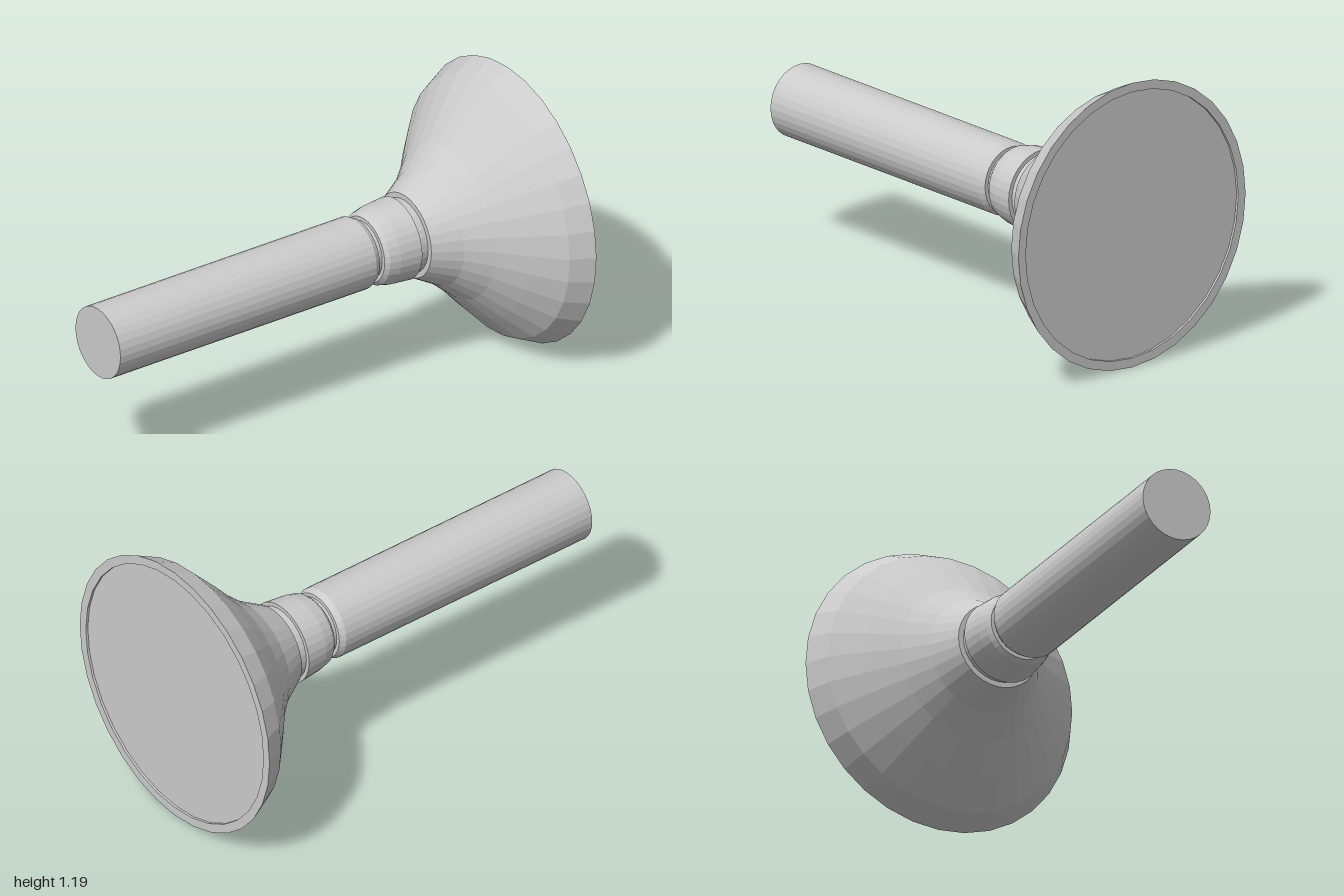
import * as THREE from 'three';

const SIDES = 32;
const AXIS_HEIGHT = 0.597;
const material = new THREE.MeshStandardMaterial({ color: 0xcccccc, flatShading: true });

// Turned part on the z axis; profile is [radius, z] pairs running from front (+z) to back (-z)
function turned(name, profile) {
  const points = profile.map(([r, z]) => new THREE.Vector2(r, -z));
  const geometry = new THREE.LatheGeometry(points, SIDES);
  geometry.rotateX(-Math.PI / 2);
  const mesh = new THREE.Mesh(geometry, material);
  mesh.name = name;
  mesh.position.y = AXIS_HEIGHT;
  return mesh;
}

export function createModel() {
  const group = new THREE.Group();
  group.name = 'flaredHandle';

  // Long round grip with a small chamfer at the back
  group.add(turned('handle', [[0, 1], [0.151, 1], [0.151, -0.25], [0.138, -0.275], [0, -0.275]]));

  // Narrow neck between grip and collar
  group.add(turned('neck', [[0, -0.26], [0.122, -0.26], [0.122, -0.31], [0, -0.31]]));

  // Swelling collar
  group.add(turned('collar', [
    [0, -0.298], [0.138, -0.298], [0.153, -0.315], [0.164, -0.36], [0.173, -0.457], [0, -0.457],
  ]));

  // Recessed ring between collar and bell
  group.add(turned('ring', [[0, -0.45], [0.156, -0.45], [0.156, -0.51], [0, -0.51]]));

  // Flared bell, ending in a flat rim with a shallow step inwards
  group.add(turned('bell', [
    [0, -0.497], [0.178, -0.497], [0.243, -0.61], [0.326, -0.702], [0.432, -0.795],
    [0.547, -0.903], [0.594, -1], [0.556, -1], [0.556, -0.98],
  ]));

  // Flat plate closing the bell, set just inside the rim
  group.add(turned('backPlate', [[0.556, -0.99], [0, -0.99]]));

  return group;
}
